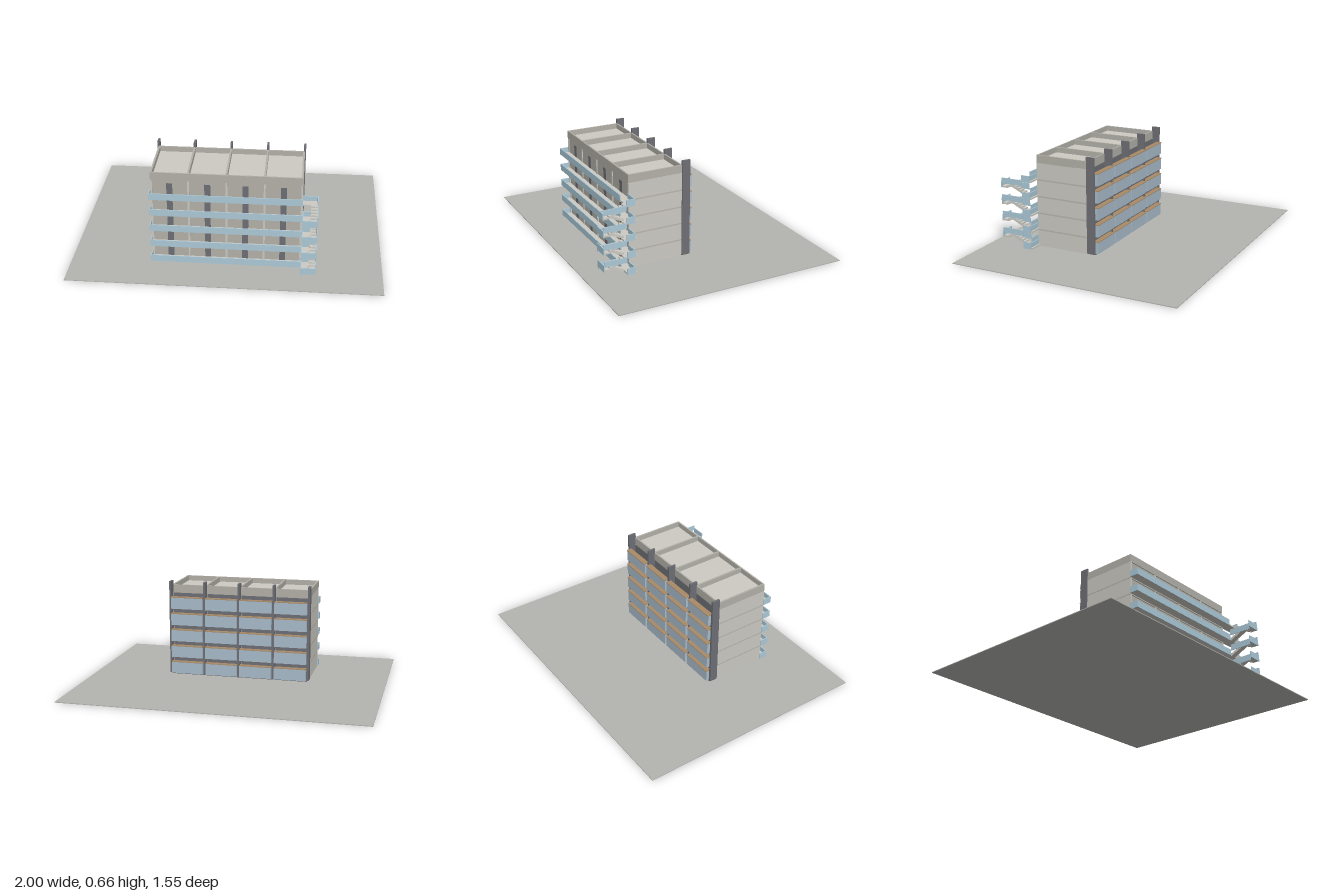
import * as THREE from 'three';

const mat = (color) => new THREE.MeshStandardMaterial({ color });

export function createModel() {
  const model = new THREE.Group();
  const ground = mat(0xb4b4af), concrete = mat(0xcccac3), wall = mat(0xb3b1a9), joint = mat(0xb9b7af);
  const blue = mat(0xaccad8), dark = mat(0x6e6f75), glass = mat(0xa9bccb), wood = mat(0xa88a66);

  // Box given by its extents on each axis
  const box = (parent, name, m, x0, x1, y0, y1, z0, z1) => {
    const mesh = new THREE.Mesh(new THREE.BoxGeometry(x1 - x0, y1 - y0, z1 - z0), m);
    mesh.position.set((x0 + x1) / 2, (y0 + y1) / 2, (z0 + z1) / 2);
    mesh.name = name;
    parent.add(mesh);
  };
  const group = (name) => {
    const g = new THREE.Group();
    g.name = name;
    model.add(g);
    return g;
  };

  // Sawtooth flight of stairs between two points (z, y), extruded across x
  const flight = (parent, name, x0, x1, z0, y0, z1, y1) => {
    const n = 6, dz = (z1 - z0) / n, dy = (y1 - y0) / n;
    const s = new THREE.Shape();
    s.moveTo(z0, y0 - 0.014);
    s.lineTo(z0, y0);
    for (let i = 0; i < n; i++) {
      s.lineTo(z0 + i * dz, y0 + (i + 1) * dy);
      s.lineTo(z0 + (i + 1) * dz, y0 + (i + 1) * dy);
    }
    s.lineTo(z1, y1 - 0.014);
    const g = new THREE.ExtrudeGeometry(s, { depth: x1 - x0, bevelEnabled: false });
    g.rotateY(-Math.PI / 2); // shape x -> z, depth -> -x
    const mesh = new THREE.Mesh(g, concrete);
    mesh.position.x = x1;
    mesh.name = name;
    parent.add(mesh);
  };

  const storey = 0.1135, base = 0.01;
  const level = (i) => base + i * storey;
  const bays = [0, 1, 2, 3], lines = [0, 1, 2, 3, 4];
  const lineX = (i) => -0.48 + i * 0.24;

  box(model, 'ground', ground, -1, 1, 0, 0.005, -0.775, 0.775);

  // Main block
  const block = group('building');
  box(block, 'core', wall, -0.474, 0.474, 0.003, 0.585, 0.087, 0.454);
  for (const s of [-1, 1]) {
    const a = s * 0.48, b = s * 0.468;
    box(block, 'endWall', concrete, Math.min(a, b), Math.max(a, b), 0.003, 0.575, 0.085, 0.46);
  }
  for (const i of [1, 2, 3]) {
    box(block, 'crossWall', concrete, lineX(i) - 0.006, lineX(i) + 0.006, 0.003, 0.575, 0.085, 0.459);
  }
  for (let i = 1; i < 5; i++) {
    box(block, 'floorJoint', joint, -0.4805, 0.4805, level(i) - 0.01, level(i), 0.086, 0.4605);
  }

  // Roof with parapets round four bays
  const roof = group('roof');
  box(roof, 'roofDeck', concrete, -0.47, 0.47, 0.57, 0.59, 0.09, 0.452);
  box(roof, 'frontParapet', wall, -0.48, 0.48, 0.572, 0.625, 0.45, 0.46);
  box(roof, 'backParapet', wall, -0.48, 0.48, 0.572, 0.625, 0.085, 0.095);
  for (const i of lines) {
    const x = THREE.MathUtils.clamp(lineX(i), -0.474, 0.474);
    box(roof, 'roofDivider', wall, x - 0.006, x + 0.006, 0.572, 0.625, 0.095, 0.45);
  }

  // Back fins
  const back = group('backFacade');
  for (const i of lines) {
    const x = lineX(i);
    box(back, 'fin', dark, x - 0.007, x + 0.007, 0.012, 0.655, 0.035, 0.09);
  }

  // Back balconies
  lines.forEach((f) => {
    const y = level(f);
    box(back, 'balconySlab', dark, -0.474, 0.474, y - 0.007, y + 0.002, 0.035, 0.087);
    bays.forEach((b) => {
      const x0 = lineX(b) + 0.01, x1 = lineX(b + 1) - 0.01;
      box(back, 'balconyPanel', glass, x0, x1, y + 0.004, y + 0.082, 0.015, 0.036);
      box(back, 'balconyTop', wood, x0, x1, y + 0.082, y + 0.086, 0.012, 0.05);
      box(back, 'balconyDoor', dark, x0, x1, y + 0.002, y + 0.104, 0.084, 0.088);
    });
  });

  // Front doors and access galleries
  const front = group('frontGalleries');
  lines.forEach((f) => {
    const y = level(f), top = y + 0.041;
    bays.forEach((b) => {
      const x = lineX(b) + 0.12;
      box(front, 'door', dark, x - 0.019, x + 0.019, y, y + 0.086, 0.45, 0.4555);
    });
    box(front, 'gallerySlab', concrete, -0.48, 0.572, y - 0.003, y + 0.008, 0.45, 0.515);
    box(front, 'galleryRail', blue, -0.485, 0.48, y - 0.003, top, 0.512, 0.518);
    box(front, 'galleryEnd', blue, -0.485, -0.479, y - 0.003, top, 0.46, 0.512);
    box(front, 'galleryEnd', blue, 0.57, 0.576, y - 0.003, top, 0.46, 0.518);
    box(front, 'galleryBackRail', blue, 0.48, 0.57, y - 0.003, top, 0.46, 0.466);
  });

  // Dog-leg stairs between galleries
  const stairs = group('stairs');
  for (let f = 0; f < 4; f++) {
    const y = level(f) + 0.008, mid = y + storey / 2, up = y + storey;
    flight(stairs, 'lowerFlight', 0.484, 0.522, 0.515, y, 0.635, mid);
    flight(stairs, 'upperFlight', 0.53, 0.57, 0.635, mid, 0.515, up);
    box(stairs, 'landing', concrete, 0.482, 0.572, mid - 0.011, mid, 0.635, 0.672);
    box(stairs, 'landingRail', blue, 0.48, 0.576, mid - 0.011, mid + 0.033, 0.67, 0.676);
    box(stairs, 'outerRail', blue, 0.571, 0.576, mid + 0.018, mid + 0.055, 0.518, 0.672);
    box(stairs, 'innerRail', blue, 0.48, 0.485, mid - 0.03, mid + 0.012, 0.518, 0.672);
  }
  return model;
}
